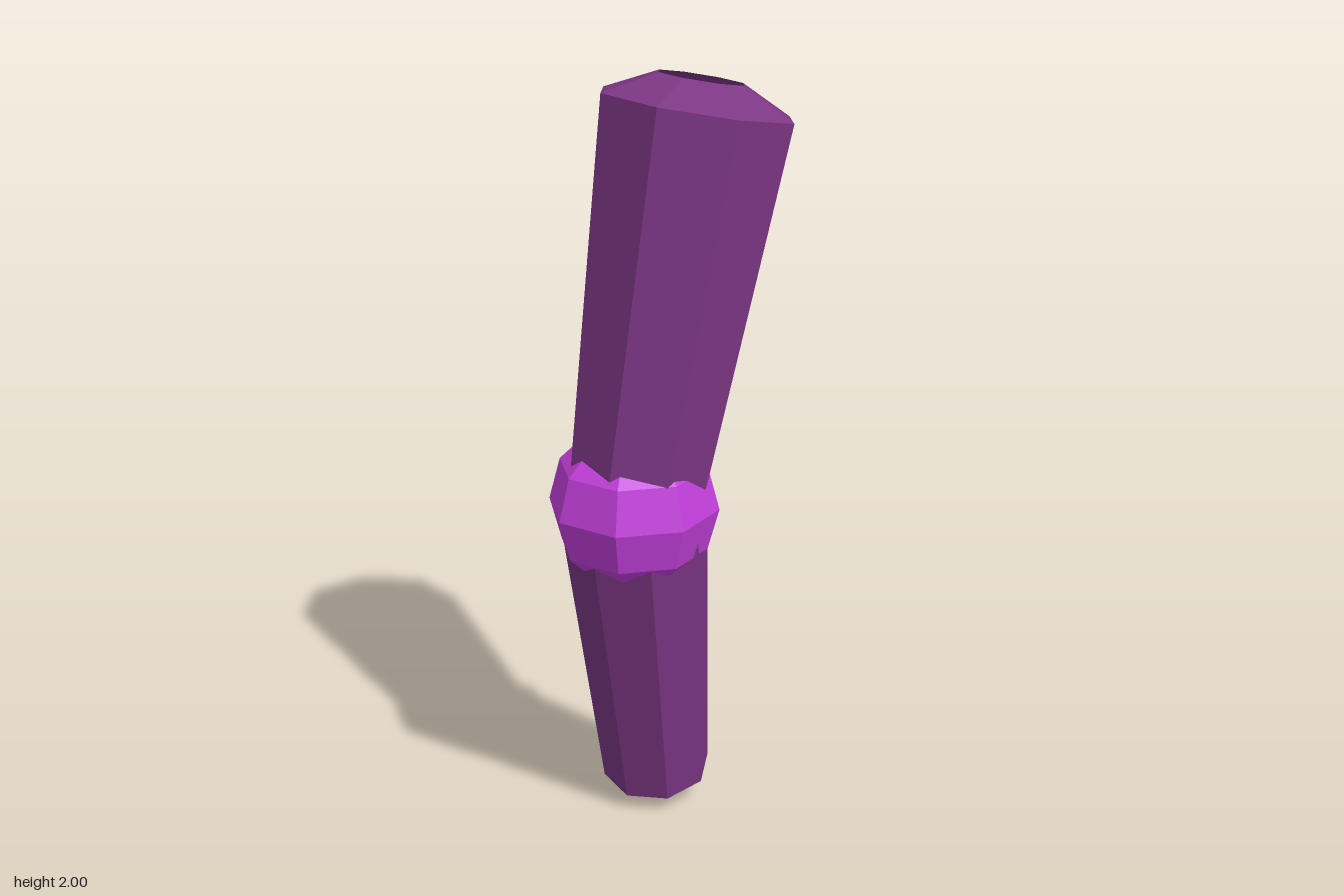
import * as THREE from 'three';

const SIDES = 8;
const JOINT = new THREE.Vector3(-0.08, 0.93, 0.065);

function flat(color, side = THREE.FrontSide) {
  return new THREE.MeshStandardMaterial({ color, flatShading: true, side });
}

// Open, tapered eight-sided tube: profile is [radius, distance along axis], listed bottom to top
function limb(name, profile, axis, turnDegrees, material) {
  const points = profile.map(([r, d]) => new THREE.Vector2(r, d));
  const geometry = new THREE.LatheGeometry(points, SIDES, THREE.MathUtils.degToRad(turnDegrees));
  const mesh = new THREE.Mesh(geometry, material);
  mesh.name = name;
  mesh.position.copy(JOINT);
  mesh.quaternion.setFromUnitVectors(new THREE.Vector3(0, 1, 0), axis.clone().normalize());
  return mesh;
}

export function createModel() {
  const group = new THREE.Group();
  group.name = 'jointedLimb';
  const purple = flat(0x7d3784, THREE.DoubleSide);
  const magenta = flat(0xc340dc);

  // Upper segment, widening to a bevelled rim with an open hole
  const upperEnd = new THREE.Vector3(0.058, 1.92, -0.046);
  group.add(limb('upperSegment',
    [[0.178, 0], [0.247, 1.006], [0.11, 1.07]],
    upperEnd.sub(JOINT), 32.5, purple));

  // Lower segment, narrowing to a bevelled rim with an open hole
  const lowerEnd = new THREE.Vector3(-0.055, 0.075, -0.095);
  group.add(limb('lowerSegment',
    [[0.066, -0.93], [0.147, -0.87], [0.192, 0]],
    JOINT.clone().sub(lowerEnd), 22.5, purple));

  // Faceted ball joint between the segments
  const ball = new THREE.Mesh(new THREE.SphereGeometry(0.22, SIDES, 6), magenta);
  ball.name = 'ballJoint';
  ball.position.copy(JOINT);
  group.add(ball);

  return group;
}
